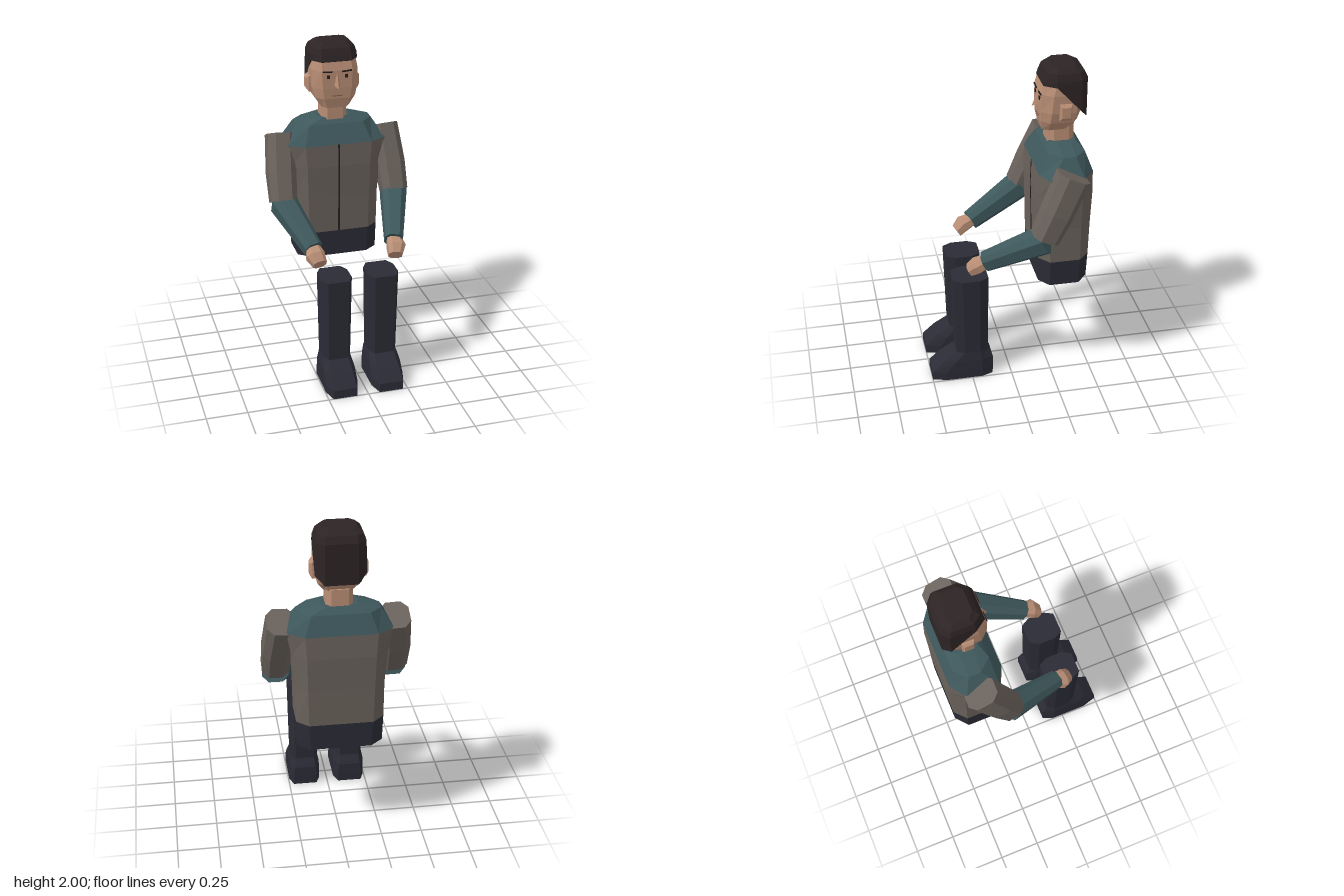
import * as THREE from 'three';

const mat = (name, color) => Object.assign(new THREE.MeshStandardMaterial({ color, flatShading: true }), { name });

// Closed, flat-shaded solid through a stack of rings with equal point counts
function loft(rings) {
  const tris = [];
  const n = rings[0].length;
  for (let r = 0; r < rings.length - 1; r++) {
    for (let i = 0; i < n; i++) {
      const j = (i + 1) % n, a = rings[r], b = rings[r + 1];
      tris.push([a[i], b[i], b[j]], [a[i], b[j], a[j]]);
    }
  }
  const centre = ring => ring.reduce((s, p) => s.add(p), new THREE.Vector3()).divideScalar(n);
  const first = rings[0], last = rings[rings.length - 1];
  const c0 = centre(first), c1 = centre(last);
  for (let i = 0; i < n; i++) {
    const j = (i + 1) % n;
    tris.push([c0, first[i], first[j]], [c1, last[j], last[i]]);
  }
  // Turn all faces outwards, so mirrored rings need no special care
  const volume = tris.reduce((s, [a, b, c]) => {
    const [p, q, t] = [a, b, c].map(v => v.clone().sub(c0));
    return s + p.dot(q.cross(t));
  }, 0);
  const pts = tris.flatMap(t => (volume < 0 ? [t[0], t[2], t[1]] : t));
  const geo = new THREE.BufferGeometry().setFromPoints(pts);
  geo.computeVertexNormals();
  return geo;
}

const V = (x, y, z) => new THREE.Vector3(x, y, z);

// Level eight-sided ring: half width, half width of front/back faces,
// z of front, side-front, side-back and back
function oct(y, hw, c, zf, sf, sb, zb, cx = 0) {
  return [[c, zf], [hw, sf], [hw, sb], [c, zb], [-c, zb], [-hw, sb], [-hw, sf], [-c, zf]]
    .map(([x, z]) => V(cx + x, y, z));
}

// Chamfered tube: stations are [centre, half width, half thickness]
function limb(stations) {
  const axis = stations[stations.length - 1][0].clone().sub(stations[0][0]).normalize();
  const v = V(1, 0, 0).cross(axis).normalize();
  const u = axis.clone().cross(v).normalize();
  const k = 0.52;
  const corners = [[k, 1], [1, k], [1, -k], [k, -1], [-k, -1], [-1, -k], [-1, k], [-k, 1]];
  return loft(stations.map(([c, a, b]) => corners.map(([p, q]) =>
    c.clone().addScaledVector(u, p * a).addScaledVector(v, q * b))));
}

export function createModel() {
  const model = new THREE.Group();
  model.name = 'seatedFigure';

  const teal = mat('teal cloth', 0x3e585c);
  const brown = mat('taupe cloth', 0x6a625c);
  const navy = mat('dark trousers', 0x2b2b36);
  const skin = mat('skin', 0xb98e75);
  const hair = mat('hair', 0x2d2425);
  const ink = mat('dark detail', 0x241c1d);
  const lip = mat('lip', 0x85604f);

  const add = (name, geo, material, parent = model) => {
    const mesh = new THREE.Mesh(geo, material);
    mesh.name = name;
    parent.add(mesh);
    return mesh;
  };
  const plate = (name, w, h, x, y, z, material, tilt = 0) => {
    const mesh = add(name, new THREE.BoxGeometry(w, h, 0.008), material);
    mesh.position.set(x, y, z);
    mesh.rotation.z = tilt;
  };

  // Torso: hips, jacket and shoulder yoke share their border rings
  const waist = oct(0.8, 0.26, 0.19, -0.175, -0.235, -0.42, -0.485);
  const chest = oct(1.38, 0.31, 0.21, -0.168, -0.22, -0.42, -0.492);
  add('hips', loft([oct(0.635, 0.255, 0.18, -0.178, -0.235, -0.415, -0.48), waist]), navy);
  add('jacket', loft([
    waist,
    oct(1.03, 0.262, 0.195, -0.17, -0.225, -0.42, -0.49),
    oct(1.24, 0.28, 0.2, -0.164, -0.22, -0.42, -0.498),
    chest,
  ]), brown);
  add('yoke', loft([
    chest,
    oct(1.495, 0.24, 0.17, -0.228, -0.305, -0.38, -0.45),
    oct(1.53, 0.11, 0.08, -0.262, -0.3, -0.38, -0.413),
  ]), teal);
  // Front seam follows the two slopes of the chest
  add('frontSeam', loft([[0.8, -0.173], [1.24, -0.162], [1.38, -0.166]].map(([y, z]) =>
    [V(-0.005, y, z), V(0.005, y, z), V(0.005, y, z - 0.006), V(-0.005, y, z - 0.006)])), ink);

  // Neck and head
  add('neck', loft([
    oct(1.5, 0.08, 0.05, -0.25, -0.285, -0.375, -0.41),
    oct(1.63, 0.077, 0.05, -0.25, -0.285, -0.375, -0.41),
  ]), skin);
  add('head', loft([
    oct(1.605, 0.085, 0.06, -0.215, -0.25, -0.34, -0.385),
    oct(1.665, 0.125, 0.08, -0.203, -0.25, -0.39, -0.42),
    oct(1.73, 0.14, 0.09, -0.2, -0.255, -0.4, -0.44),
    oct(1.84, 0.143, 0.095, -0.202, -0.265, -0.41, -0.455),
    oct(1.91, 0.134, 0.09, -0.22, -0.285, -0.41, -0.455),
  ]), skin);

  // Hair: lower edge drops diagonally towards the nape
  const hairEdge = oct(0, 0.146, 0.095, -0.211, -0.283, -0.432, -0.473);
  [1.895, 1.895, 1.735, 1.685, 1.685, 1.735, 1.895, 1.895].forEach((y, i) => { hairEdge[i].y = y; });
  add('hair', loft([
    hairEdge,
    oct(1.93, 0.142, 0.093, -0.222, -0.282, -0.432, -0.474),
    oct(1.97, 0.128, 0.09, -0.238, -0.285, -0.42, -0.455),
    oct(2.0, 0.095, 0.065, -0.27, -0.3, -0.39, -0.41),
  ]), hair);

  // Face
  add('nose', loft([
    [V(-0.02, 1.75, -0.203), V(0, 1.733, -0.165), V(0.02, 1.75, -0.203)],
    [V(-0.006, 1.82, -0.203), V(0, 1.82, -0.198), V(0.006, 1.82, -0.203)],
  ]), skin);
  plate('mouth', 0.062, 0.006, 0, 1.685, -0.2, lip);

  for (const s of [1, -1]) {
    const side = s > 0 ? 'left' : 'right';
    plate(side + 'Eye', 0.016, 0.022, s * 0.056, 1.805, -0.2, ink);
    plate(side + 'Brow', 0.06, 0.009, s * 0.06, 1.836, -0.2, ink, s * 0.08);

    const earRing = (x, y0, y1, z0, z1) =>
      [V(s * x, y0, z0), V(s * x, y1, z0), V(s * x, y1, z1), V(s * x, y0, z1)];
    add(side + 'Ear', loft([
      earRing(0.125, 1.69, 1.79, -0.3, -0.37),
      earRing(0.152, 1.69, 1.79, -0.3, -0.372),
      earRing(0.166, 1.71, 1.775, -0.31, -0.362),
    ]), skin);

    // Arm: upper sleeve, forearm and hand
    const arm = new THREE.Group();
    arm.name = side + 'Arm';
    model.add(arm);
    add('upperArm', limb([
      [V(s * 0.33, 1.42, -0.345), 0.085, 0.098],
      [V(s * 0.35, 1.2, -0.245), 0.087, 0.092],
      [V(s * 0.356, 1.04, -0.172), 0.08, 0.082],
    ]), brown, arm);
    add('forearm', limb([
      [V(s * 0.356, 1.03, -0.175), 0.08, 0.08],
      [V(s * 0.252, 0.855, 0.168), 0.054, 0.056],
    ]), teal, arm);
    add('hand', limb([
      [V(s * 0.256, 0.862, 0.155), 0.042, 0.036],
      [V(s * 0.253, 0.835, 0.215), 0.056, 0.044],
      [V(s * 0.236, 0.797, 0.258), 0.042, 0.034],
    ]), skin, arm);

    // Lower leg and boot
    const leg = new THREE.Group();
    leg.name = side + 'Leg';
    model.add(leg);
    const cx = s * 0.146;
    const ankle = oct(0.18, 0.086, 0.06, 0.342, 0.295, 0.195, 0.145, cx);
    add('shin', loft([
      ankle,
      oct(0.71, 0.095, 0.064, 0.355, 0.3, 0.195, 0.138, cx),
    ]), navy, leg);
    add('boot', loft([
      oct(0, 0.1, 0.074, 0.5, 0.41, 0.185, 0.118, cx),
      oct(0.055, 0.1, 0.074, 0.498, 0.41, 0.185, 0.115, cx),
      oct(0.125, 0.097, 0.068, 0.425, 0.355, 0.19, 0.115, cx),
      ankle,
    ]), navy, leg);
  }
  return model;
}
